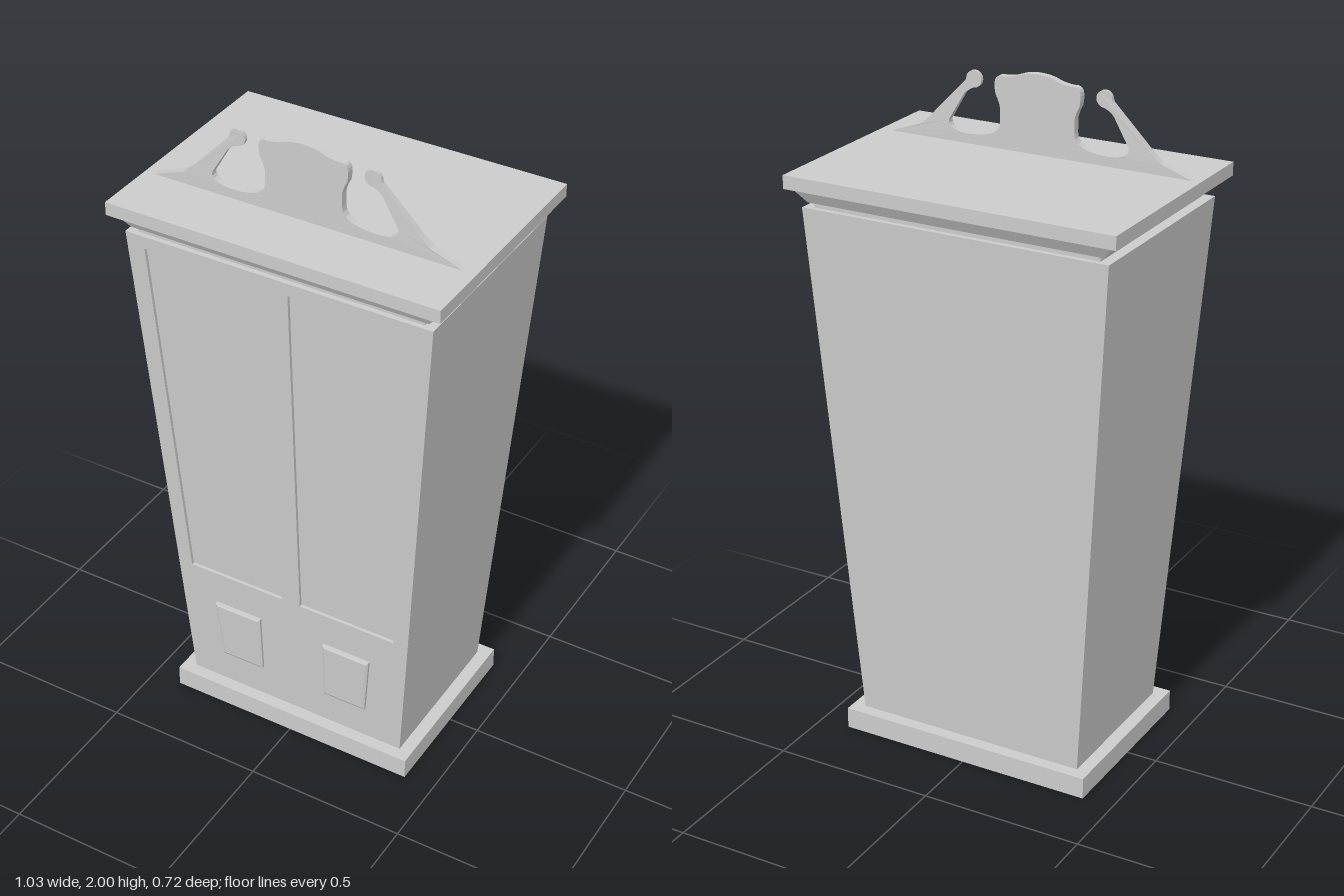
import * as THREE from 'three';

const material = new THREE.MeshStandardMaterial({ color: 0xcccccc, side: THREE.DoubleSide, flatShading: true });

function addMesh(parent, name, geometry) {
  const mesh = new THREE.Mesh(geometry, material);
  mesh.name = name;
  parent.add(mesh);
  return mesh;
}

// Joins successive four-corner rings with flat quads; optionally caps the last ring.
function loft(rings, { closed = true, cap = false } = {}) {
  const pos = [];
  const quad = (a, b, c, d) => [a, b, c, a, c, d].forEach((p) => pos.push(...p));
  for (let i = 0; i + 1 < rings.length; i++) {
    const lo = rings[i], hi = rings[i + 1], n = lo.length;
    for (let k = 0; k < (closed ? n : n - 1); k++) {
      const m = (k + 1) % n;
      quad(lo[k], lo[m], hi[m], hi[k]);
    }
  }
  if (cap) quad(...rings[rings.length - 1]);
  const geometry = new THREE.BufferGeometry();
  geometry.setAttribute('position', new THREE.Float32BufferAttribute(pos, 3));
  geometry.computeVertexNormals();
  return geometry;
}

const rect = ([y, hx, hz]) => [[hx, y, hz], [hx, y, -hz], [-hx, y, -hz], [-hx, y, hz]];

// Body dimensions: height, half width, half depth
const LOW = [0.066, 0.365, 0.25];
const HIGH = [1.67, 0.478, 0.326];
const frontZ = (y) => LOW[2] + (HIGH[2] - LOW[2]) * (y - LOW[0]) / (HIGH[0] - LOW[0]);

// Trapezoid outline, counter-clockwise from the front, on either side of the centre
function trapezoid(side, [y0, in0, out0], [y1, in1, out1], inset = 0) {
  const points = [
    [in0 + inset, y0 + inset], [out0 - inset, y0 + inset],
    [out1 - inset, y1 - inset], [in1 + inset, y1 - inset],
  ].map(([x, y]) => [x * side, y]);
  return side > 0 ? points : points.reverse();
}

// Places an outline on the leaning front, pushed out by an offset
const onFront = (outline, offset) => outline.map(([x, y]) => [x, y, frontZ(y) + offset]);
const toVectors = (outline) => outline.map(([x, y]) => new THREE.Vector2(x, y));

function createFrontHalf(side) {
  const half = new THREE.Group();
  half.name = side > 0 ? 'leftFront' : 'rightFront';
  const door = [[0.50, 0.031, 0.349], [1.63, 0.038, 0.419]];
  const plaque = [[0.182, 0.109, 0.249], [0.384, 0.109, 0.267]];
  const doorOutline = trapezoid(side, ...door);
  const plaqueOutline = trapezoid(side, ...plaque);

  // Leaning face with openings
  const shape = new THREE.Shape(toVectors(trapezoid(side, [LOW[0], 0, LOW[1]], [HIGH[0], 0, HIGH[1]])));
  shape.holes.push(new THREE.Path(toVectors(doorOutline)), new THREE.Path(toVectors(plaqueOutline)));
  const face = new THREE.ShapeGeometry(shape);
  const p = face.attributes.position;
  for (let i = 0; i < p.count; i++) p.setZ(i, frontZ(p.getY(i)));
  face.computeVertexNormals();
  addMesh(half, 'frontFrame', face);

  // Sunken door panel
  addMesh(half, 'doorPanel', loft([onFront(doorOutline, 0), onFront(doorOutline, -0.01)], { cap: true }));

  // Raised lower panel with a bevelled rim
  addMesh(half, 'lowerPanel', loft([
    onFront(plaqueOutline, 0),
    onFront(plaqueOutline, 0.008),
    onFront(trapezoid(side, ...plaque, 0.008), 0.012),
  ], { cap: true }));
  return half;
}

function createPediment() {
  // Right-hand half of the outline, from the outer tip to the crown
  const shape = new THREE.Shape();
  const wing = new THREE.Path();
  wing.moveTo(0.482, 1.767);
  wing.lineTo(0.384, 1.802);
  wing.quadraticCurveTo(0.355, 1.825, 0.335, 1.848);
  wing.lineTo(0.236, 1.95);
  wing.absarc(0.208, 1.957, 0.025, 0, Math.PI * 1.5, false); // scroll end
  wing.quadraticCurveTo(0.228, 1.925, 0.24, 1.91);
  wing.lineTo(0.289, 1.828);
  wing.quadraticCurveTo(0.292, 1.798, 0.225, 1.796);
  wing.quadraticCurveTo(0.118, 1.797, 0.119, 1.845);
  wing.lineTo(0.119, 1.885);
  wing.quadraticCurveTo(0.122, 1.905, 0.134, 1.925);
  wing.quadraticCurveTo(0.145, 1.98, 0.118, 1.98);
  wing.quadraticCurveTo(0.085, 1.978, 0.05, 1.993);
  wing.quadraticCurveTo(0.025, 2.0, 0, 2.0);
  const right = wing.getPoints(6);
  const left = right.slice(0, -1).reverse().map((v) => new THREE.Vector2(-v.x, v.y));
  shape.setFromPoints([...right, ...left]);

  const depth = 0.023;
  const geometry = new THREE.ExtrudeGeometry(shape, { depth, bevelEnabled: false });
  geometry.translate(0, 0, -depth / 2);
  // The scrolled arms thin out towards their ends
  const p = geometry.attributes.position;
  for (let i = 0; i < p.count; i++) {
    if (Math.abs(p.getX(i)) < 0.17) continue;
    const t = THREE.MathUtils.clamp((p.getY(i) - 1.802) / 0.14, 0, 1);
    p.setZ(i, p.getZ(i) * (1 - 0.5 * t));
  }
  geometry.computeVertexNormals();
  return geometry;
}

export function createModel() {
  const cabinet = new THREE.Group();
  cabinet.name = 'cabinet';

  // Hollow plinth with a ledge under the body
  addMesh(cabinet, 'plinth', loft([[0, 0.405, 0.288], [LOW[0], 0.405, 0.288], LOW].map(rect)));

  // Sides and back, widening upwards
  addMesh(cabinet, 'bodySidesAndBack', loft([rect(LOW), rect(HIGH)], { closed: false }));
  for (const side of [1, -1]) cabinet.add(createFrontHalf(side));

  // Neck, flared moulding and top slab
  addMesh(cabinet, 'cornice', loft([
    HIGH,
    [1.67, 0.446, 0.311],
    [1.685, 0.446, 0.311],
    [1.685, 0.462, 0.32],
    [1.727, 0.497, 0.345],
    [1.727, 0.515, 0.36],
    [1.767, 0.515, 0.36],
  ].map(rect), { cap: true }));

  // Scrolled crest near the front
  addMesh(cabinet, 'pediment', createPediment()).position.set(-0.005, 0, 0.157);

  return cabinet;
}
